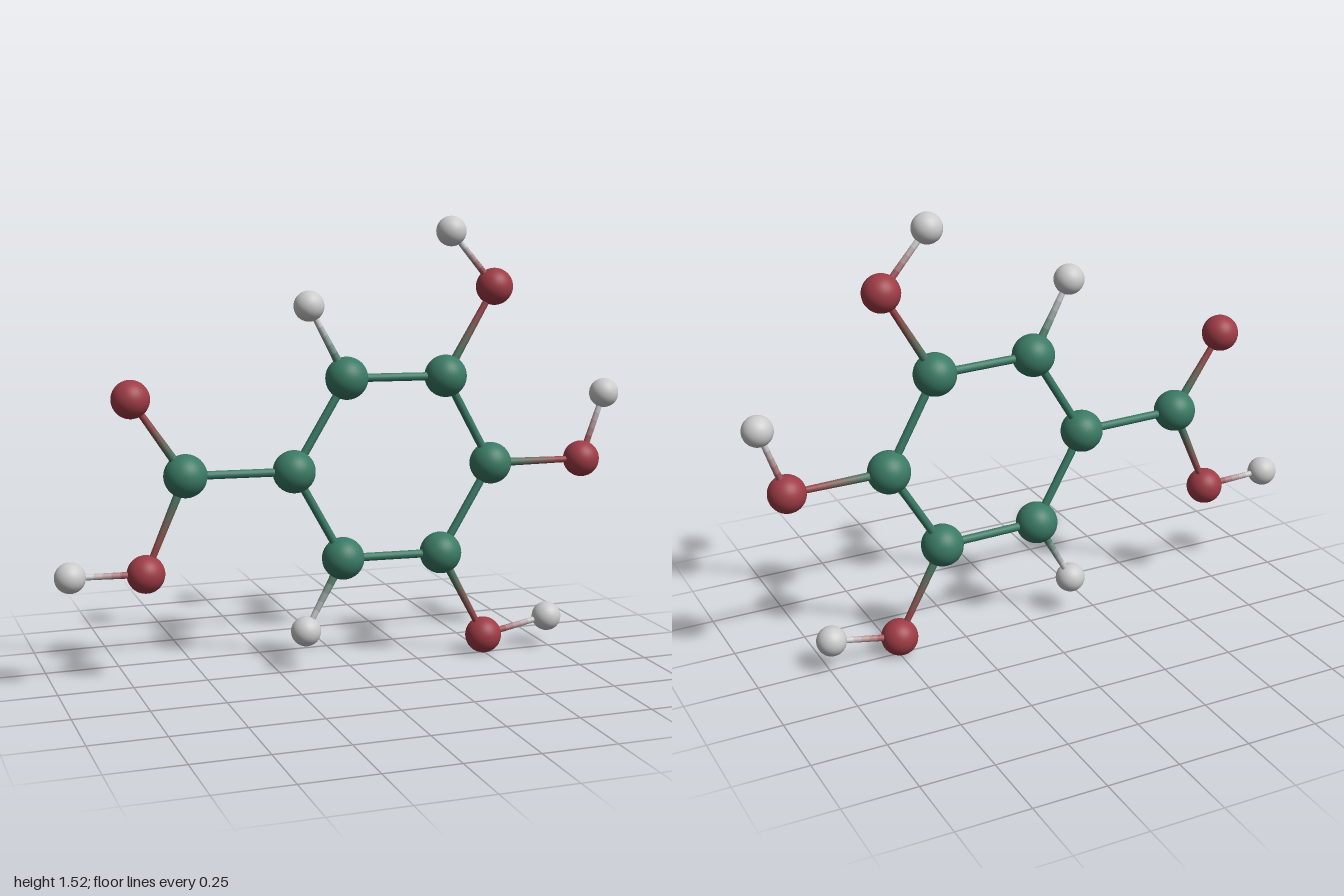
import * as THREE from 'three';

// Atom kinds: colour, ball radius, bond radius at that end
const KINDS = {
  carbon: { color: 0x3a7a64, r: 0.072, rod: 0.014 },
  oxygen: { color: 0x9e3b45, r: 0.063, rod: 0.011 },
  hydrogen: { color: 0xcccccc, r: 0.051, rod: 0.01 },
};

// Atom positions in the plane z = 0
const ATOMS = {
  ring1: ['carbon', -0.195, 0.69],
  ring2: ['carbon', -0.01, 0.995],
  ring3: ['carbon', 0.345, 0.988],
  ring4: ['carbon', 0.515, 0.678],
  ring5: ['carbon', 0.332, 0.374],
  ring6: ['carbon', -0.023, 0.381],
  acidCarbon: ['carbon', -0.565, 0.698],
  acidOxygenUpper: ['oxygen', -0.741, 0.958],
  acidOxygenLower: ['oxygen', -0.702, 0.381],
  oxygenTop: ['oxygen', 0.521, 1.287],
  oxygenSide: ['oxygen', 0.863, 0.673],
  oxygenBottom: ['oxygen', 0.497, 0.065],
  hydrogenRingTop: ['hydrogen', -0.141, 1.239],
  hydrogenRingBottom: ['hydrogen', -0.156, 0.138],
  hydrogenAcid: ['hydrogen', -0.95, 0.389],
  hydrogenTop: ['hydrogen', 0.361, 1.476],
  hydrogenSide: ['hydrogen', 0.946, 0.903],
  hydrogenBottom: ['hydrogen', 0.74, 0.111],
};

const BONDS = [
  ['ring1', 'ring2'], ['ring2', 'ring3'], ['ring3', 'ring4'],
  ['ring4', 'ring5'], ['ring5', 'ring6'], ['ring6', 'ring1'],
  ['ring1', 'acidCarbon'], ['acidCarbon', 'acidOxygenUpper'], ['acidCarbon', 'acidOxygenLower'],
  ['ring3', 'oxygenTop'], ['ring4', 'oxygenSide'], ['ring5', 'oxygenBottom'],
  ['ring2', 'hydrogenRingTop'], ['ring6', 'hydrogenRingBottom'],
  ['acidOxygenLower', 'hydrogenAcid'], ['oxygenTop', 'hydrogenTop'],
  ['oxygenSide', 'hydrogenSide'], ['oxygenBottom', 'hydrogenBottom'],
];

const UP = new THREE.Vector3(0, 1, 0);
const position = ([, x, y]) => new THREE.Vector3(x, y, 0);

// Tapered rod between two atoms; mixed bonds blend colour in short sections
function makeBond(nameA, nameB) {
  const group = new THREE.Group();
  group.name = `bond ${nameA} to ${nameB}`;
  const a = ATOMS[nameA], b = ATOMS[nameB];
  const kindA = KINDS[a[0]], kindB = KINDS[b[0]];
  const start = position(a), dir = position(b).sub(start);
  const length = dir.length();
  dir.normalize();
  // The visible span runs between the two ball surfaces
  const from = kindA.r * 0.9, span = length - from - kindB.r * 0.9;
  const sections = kindA === kindB ? 1 : 5;
  const rodAt = (t) => THREE.MathUtils.lerp(kindA.rod, kindB.rod, t);
  for (let i = 0; i < sections; i++) {
    const t0 = i / sections, t1 = (i + 1) / sections, mid = (t0 + t1) / 2;
    const color = new THREE.Color(kindA.color).lerp(new THREE.Color(kindB.color), mid);
    const rod = new THREE.Mesh(
      new THREE.CylinderGeometry(rodAt(t1), rodAt(t0), span / sections, 16, 1, true),
      new THREE.MeshStandardMaterial({ color }));
    rod.name = 'bondSection';
    rod.position.copy(start).addScaledVector(dir, from + span * mid);
    rod.quaternion.setFromUnitVectors(UP, dir);
    group.add(rod);
  }
  return group;
}

export function createModel() {
  const model = new THREE.Group();
  model.name = 'molecule';

  // Shared ball geometry and material for each kind of atom
  const parts = {};
  for (const [kind, { color, r }] of Object.entries(KINDS)) {
    parts[kind] = [new THREE.SphereGeometry(r, 32, 20), new THREE.MeshStandardMaterial({ color })];
  }

  // Atoms
  for (const [name, atom] of Object.entries(ATOMS)) {
    const ball = new THREE.Mesh(...parts[atom[0]]);
    ball.name = `atom ${name}`;
    ball.position.copy(position(atom));
    model.add(ball);
  }

  // Bonds
  for (const [a, b] of BONDS) model.add(makeBond(a, b));

  return model;
}
